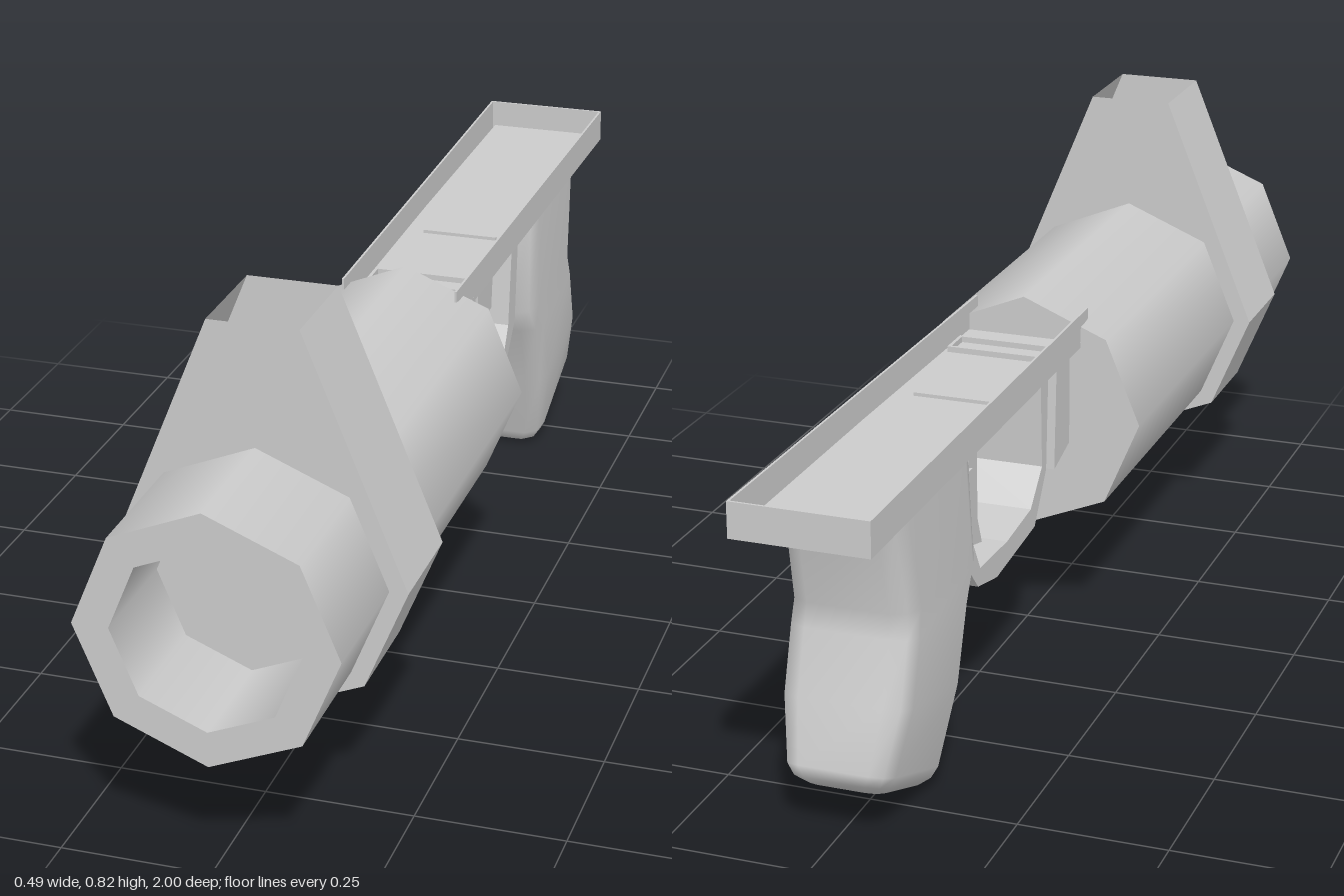
import * as THREE from 'three';

const grey = new THREE.MeshStandardMaterial({ color: 0xcccccc, side: THREE.DoubleSide });
const flat = new THREE.MeshStandardMaterial({ color: 0xcccccc, side: THREE.DoubleSide, flatShading: true });

function add(parent, name, geometry, material = flat) {
  const mesh = new THREE.Mesh(geometry, material);
  mesh.name = name;
  parent.add(mesh);
  return mesh;
}

const toPath = (pts, Type = THREE.Shape) => new Type(pts.map(([a, b]) => new THREE.Vector2(a, b)));

// Side profile given as [z, y] points, extruded symmetrically across x
function sideProfile(points, width, hole) {
  const shape = toPath(points);
  if (hole) shape.holes.push(toPath(hole, THREE.Path));
  return new THREE.ExtrudeGeometry(shape, { depth: width, bevelEnabled: false })
    .translate(0, 0, -width / 2).rotateY(-Math.PI / 2);
}

function box(w, h, d, x, y, z) {
  return new THREE.BoxGeometry(w, h, d).translate(x, y, z);
}

// Eight-sided barrel with a recessed bore
function makeBarrel() {
  const g = new THREE.Group();
  g.name = 'barrel';
  const R = 0.214, r = 0.154, y = 0.407, front = 1, back = -0.02, depth = 0.2;
  const tube = (radius, z0, z1) => new THREE.CylinderGeometry(radius, radius, z1 - z0, 8, 1, true)
    .rotateX(Math.PI / 2).translate(0, y, (z0 + z1) / 2);
  add(g, 'barrelWall', tube(R, back, front), grey);
  add(g, 'boreWall', tube(r, front - depth, front), grey);
  add(g, 'muzzleRim', new THREE.RingGeometry(r, R, 8).translate(0, y, front));
  add(g, 'boreEnd', new THREE.CircleGeometry(r, 8).translate(0, y, front - depth));
  add(g, 'barrelBack', new THREE.CircleGeometry(R, 8).rotateY(Math.PI).translate(0, y, back));
  return g;
}

// Collar around the barrel, rising to an open top
function makeCollar() {
  const right = [[0, 0.163], [0.173, 0.234], [0.245, 0.407], [0.075, 0.825]];
  const left = right.slice(1).reverse().map(([x, y]) => [-x, y]);
  const geo = new THREE.ExtrudeGeometry(toPath([...right, ...left]), { depth: 0.185, bevelEnabled: false })
    .translate(0, 0, 0.58).toNonIndexed();
  const p = geo.attributes.position, keep = [];
  for (let i = 0; i < p.count; i += 3) {
    const top = [0, 1, 2].every(k => p.getY(i + k) > 0.82);
    if (!top) for (let k = 0; k < 3; k++) keep.push(p.getX(i + k), p.getY(i + k), p.getZ(i + k));
  }
  const open = new THREE.BufferGeometry();
  open.setAttribute('position', new THREE.Float32BufferAttribute(keep, 3));
  open.computeVertexNormals();
  return open;
}

// Shallow tray that forms the top of the receiver
function makeTray() {
  const g = new THREE.Group();
  g.name = 'receiverTray';
  const wall = [[0.02, 0.6], [0.02, 0.58], [-0.02, 0.575], [-0.02, 0.54], [-1, 0.54], [-1, 0.6]];
  for (const s of [-1, 1]) {
    const geo = sideProfile(wall, 0.004);
    const p = geo.attributes.position;
    // widen slightly toward the rear
    for (let i = 0; i < p.count; i++) p.setX(i, p.getX(i) + s * (0.103 - 0.01 * p.getZ(i)));
    geo.computeVertexNormals();
    add(g, s > 0 ? 'leftTrayWall' : 'rightTrayWall', geo);
  }
  add(g, 'trayBack', box(0.226, 0.06, 0.004, 0, 0.57, -0.998));
  add(g, 'trayFloor', box(0.212, 0.01, 0.975, 0, 0.545, -0.51));
  // Raised slot frame and seam on the floor
  for (const s of [-1, 1]) {
    add(g, 'slotSide', box(0.006, 0.012, 0.06, s * 0.092, 0.554, -0.115));
    add(g, 'slotEnd', box(0.19, 0.012, 0.006, 0, 0.554, -0.115 + s * 0.028));
  }
  add(g, 'floorSeam', box(0.14, 0.008, 0.006, 0, 0.552, -0.365));
  return g;
}

// Grip lofted through chamfered rectangles: [frontZ, frontY, backZ, backY, halfWidth]
function makeGrip() {
  const sections = [
    [-0.525, 0.54, -0.865, 0.54, 0.1],
    [-0.513, 0.345, -0.825, 0.37, 0.105],
    [-0.555, 0.29, -0.833, 0.33, 0.108],
    [-0.6, 0.165, -0.865, 0.225, 0.108],
    [-0.646, 0.03, -0.897, 0.125, 0.09],
    [-0.655, 0.012, -0.892, 0.103, 0.08],
    [-0.672, 0.003, -0.868, 0.08, 0.062],
  ];
  // chamfered outline in unit coordinates: across, front to back
  const outline = [[-0.65, 0], [0.65, 0], [0.9, 0.04], [1, 0.14], [1, 0.86], [0.9, 0.96],
    [0.65, 1], [-0.65, 1], [-0.9, 0.96], [-1, 0.86], [-1, 0.14], [-0.9, 0.04]];
  const n = outline.length, pos = [], idx = [];
  for (const [fz, fy, bz, by, w] of sections)
    for (const [u, v] of outline) pos.push(u * w, fy + (by - fy) * v, fz + (bz - fz) * v);
  for (let s = 0; s < sections.length - 1; s++)
    for (let i = 0; i < n; i++) {
      const a = s * n + i, b = s * n + (i + 1) % n;
      idx.push(a, a + n, b, b, a + n, b + n);
    }
  const last = (sections.length - 1) * n;
  for (let i = 1; i < n - 1; i++) idx.push(last, last + i + 1, last + i);
  const geo = new THREE.BufferGeometry();
  geo.setAttribute('position', new THREE.Float32BufferAttribute(pos, 3));
  geo.setIndex(idx);
  geo.computeVertexNormals();
  return geo;
}

export function createModel() {
  const model = new THREE.Group();
  model.name = 'launcher';
  model.add(makeBarrel());
  add(model, 'collar', makeCollar());
  model.add(makeTray());

  // Block joining the barrel to the trigger guard
  add(model, 'frontBlock', sideProfile(
    [[-0.02, 0.545], [-0.02, 0.36], [-0.1, 0.338], [-0.088, 0.545]], 0.17));

  // Trigger guard loop
  add(model, 'triggerGuard', sideProfile(
    [[-0.085, 0.545], [-0.098, 0.34], [-0.16, 0.252], [-0.35, 0.235], [-0.44, 0.255],
      [-0.51, 0.33], [-0.53, 0.545]],
    0.14,
    [[-0.13, 0.535], [-0.122, 0.35], [-0.18, 0.292], [-0.3, 0.28], [-0.43, 0.285],
      [-0.462, 0.34], [-0.485, 0.535]]));

  // Curved trigger and the stop behind it
  add(model, 'trigger', sideProfile(
    [[-0.315, 0.52], [-0.345, 0.54], [-0.375, 0.53], [-0.373, 0.33], [-0.355, 0.29],
      [-0.315, 0.28], [-0.335, 0.33], [-0.337, 0.48]], 0.06));
  add(model, 'triggerStop', box(0.07, 0.065, 0.11, 0, 0.403, -0.425));

  add(model, 'grip', makeGrip(), grey);
  return model;
}
